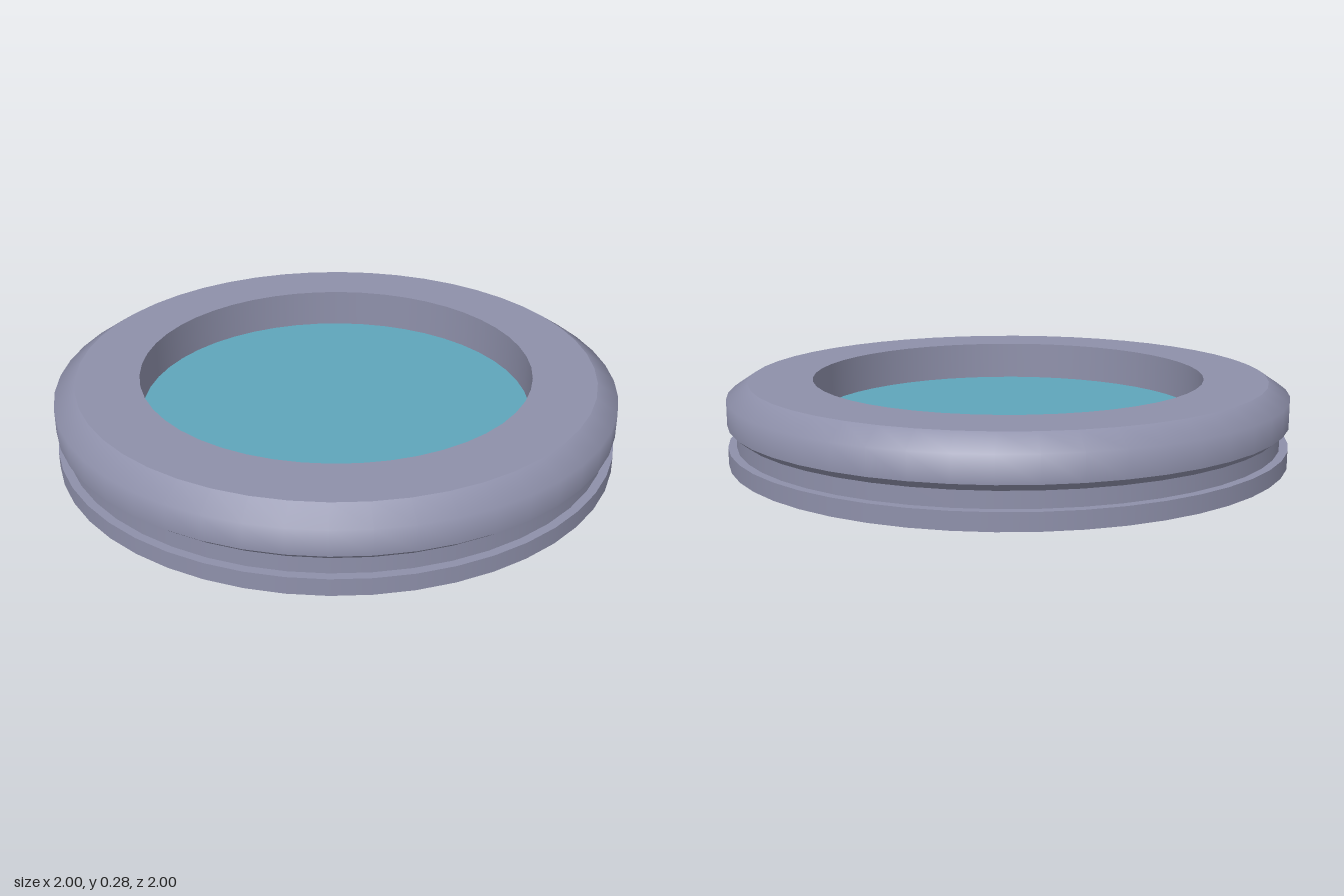
import * as THREE from 'three';

const SEGMENTS = 48;

export function createModel() {
  const model = new THREE.Group();
  const bodyMaterial = new THREE.MeshStandardMaterial({ color: 0x8e90aa });
  const floorMaterial = new THREE.MeshStandardMaterial({ color: 0x5fa5bb });

  // Turned surface from [radius, height] points; smooth within one band, sharp between bands
  const addBand = (parent, name, points, material = bodyMaterial) => {
    const profile = points.map(([r, y]) => new THREE.Vector2(r, y));
    const mesh = new THREE.Mesh(new THREE.LatheGeometry(profile, SEGMENTS), material);
    mesh.name = name;
    parent.add(mesh);
  };

  const addGroup = (name) => {
    const group = new THREE.Group();
    group.name = name;
    model.add(group);
    return group;
  };

  // Base plate
  const base = addGroup('base');
  addBand(base, 'baseUnderside', [[0, 0], [1, 0]]);
  addBand(base, 'baseSide', [[1, 0], [1, 0.06]]);
  addBand(base, 'baseLedge', [[1, 0.06], [0.97, 0.06]]);

  // Recessed groove between base and rim
  addBand(model, 'groove', [[0.97, 0.06], [0.97, 0.115]]);

  // Upper rim with softly shaded bevel
  const rim = addGroup('rim');
  addBand(rim, 'rimUndercut', [[0.97, 0.115], [1, 0.14]]);
  addBand(rim, 'rimSide', [[1, 0.14], [1, 0.23], [0.925, 0.28]]);
  addBand(rim, 'rimTop', [[0.925, 0.28], [0.7, 0.28]]);
  addBand(rim, 'rimInnerWall', [[0.7, 0.28], [0.7, 0.14]]);

  // Coloured floor of the recess
  addBand(model, 'recessFloor', [[0.7, 0.14], [0, 0.14]], floorMaterial);

  return model;
}
